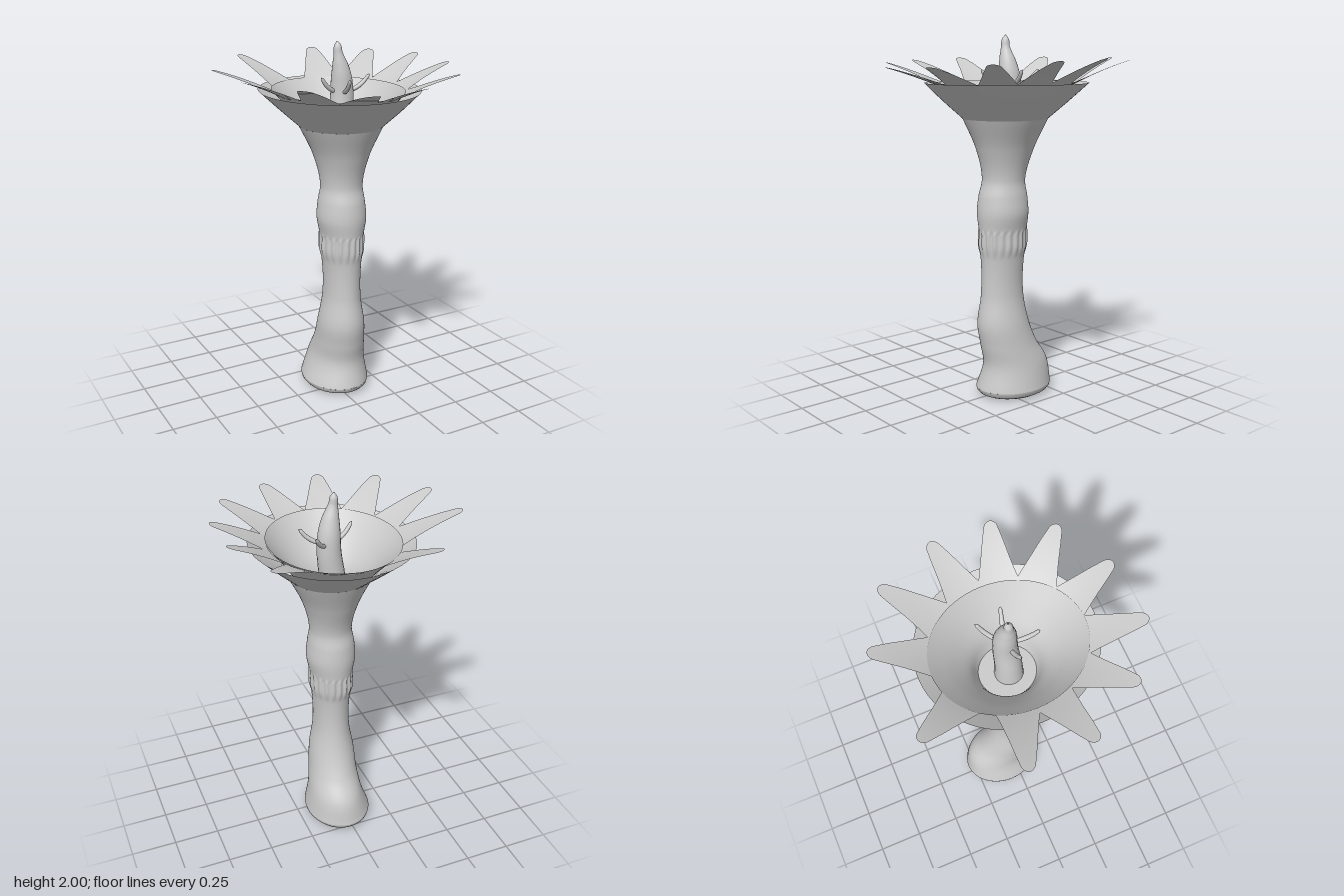
import * as THREE from 'three';

const material = new THREE.MeshStandardMaterial({ color: 0xcccccc });
const thin = new THREE.MeshStandardMaterial({ color: 0xcccccc, side: THREE.DoubleSide });

// Surface from a grid of points; "closed" joins the last column to the first
function grid(cols, rows, closed, point) {
  const pos = [], index = [], n = closed ? cols : cols + 1;
  for (let j = 0; j <= rows; j++)
    for (let i = 0; i < n; i++) pos.push(...point(i / cols, j / rows));
  for (let j = 0; j < rows; j++)
    for (let i = 0; i < cols; i++) {
      const a = j * n + i, b = j * n + (i + 1) % n;
      index.push(a, a + n, b, b, a + n, b + n);
    }
  const g = new THREE.BufferGeometry();
  g.setAttribute('position', new THREE.Float32BufferAttribute(pos, 3));
  g.setIndex(index);
  g.computeVertexNormals();
  return g;
}

// Smooth loft through upright sections [y, left, right, back, front]
function loft(sections, rows, cols = 64, ripple = () => 0) {
  const y0 = sections[0][0], y1 = sections[sections.length - 1][0];
  const curve = new THREE.CubicInterpolant(sections.map(s => s[0]), sections.flatMap(s => s.slice(1)), 4);
  return grid(cols, rows, true, (u, v) => {
    const y = y0 + (y1 - y0) * v, a = u * Math.PI * 2;
    const [l, r, b, f] = curve.evaluate(y), k = 1 + ripple(a, y);
    return [(l + r) / 2 + (r - l) / 2 * k * Math.cos(a), y, (b + f) / 2 + (f - b) / 2 * k * Math.sin(a)];
  });
}

// Round tapering strand along a curve
function strand(points, radius, rows, cols) {
  const c = new THREE.CatmullRomCurve3(points.map(p => new THREE.Vector3(...p)));
  const f = c.computeFrenetFrames(rows);
  return grid(cols, rows, true, (u, v) => {
    const k = Math.round(v * rows), a = -u * Math.PI * 2, r = radius(v);
    return c.getPoint(v).addScaledVector(f.normals[k], r * Math.cos(a))
      .addScaledVector(f.binormals[k], r * Math.sin(a)).toArray();
  });
}

export function createModel() {
  const group = new THREE.Group();
  const add = (name, geometry, mat = material, parent = group) => {
    const m = new THREE.Mesh(geometry, mat);
    m.name = name;
    parent.add(m);
  };

  // Trunk with a bulge, a grooved band and a foot leaning backwards
  const band = (a, y) => {
    if (y < 0.81 || y > 0.96) return 0;
    const fade = Math.min(1, (y - 0.81) / 0.06, (0.96 - y) / 0.015);
    return fade * (0.035 * Math.cos(a * 20) + 0.005);
  };
  add('trunk', loft([
    [0.05, -0.16, 0.21, -0.295, 0.16], [0.19, -0.112, 0.187, -0.265, 0.13],
    [0.3, -0.102, 0.168, -0.195, 0.148], [0.42, -0.1, 0.153, -0.145, 0.165],
    [0.59, -0.075, 0.127, -0.11, 0.145], [0.8, -0.079, 0.132, -0.113, 0.145],
    [0.86, -0.09, 0.142, -0.125, 0.153], [0.95, -0.09, 0.144, -0.127, 0.154],
    [1.05, -0.107, 0.16, -0.132, 0.16], [1.14, -0.1, 0.153, -0.125, 0.15],
    [1.23, -0.086, 0.143, -0.11, 0.13], [1.4, -0.12, 0.182, -0.16, 0.165],
    [1.56, -0.195, 0.258, -0.232, 0.232]], 160, 120, band));

  // Rounded sole
  add('sole', grid(64, 8, true, (u, v) => {
    const a = u * Math.PI * 2, r = Math.sin(v * Math.PI / 2);
    return [0.025 + 0.185 * r * Math.cos(a), 0.05 - 0.05 * Math.pow(1 - r ** 6, 0.5), -0.067 + 0.228 * r * Math.sin(a)];
  }));

  // Flared cup, with a lip turning back inside
  add('cup', loft([[1.56, -0.195, 0.258, -0.232, 0.232], [1.655, -0.298, 0.36, -0.352, 0.34],
    [1.75, -0.397, 0.455, -0.467, 0.438]], 8));
  add('cupLip', loft([[1.6, -0.22, 0.28, -0.26, 0.255], [1.68, -0.31, 0.37, -0.36, 0.345],
    [1.75, -0.397, 0.455, -0.467, 0.438]], 8), thin);

  // Inner bowl and its floor
  add('bowl', loft([[1.42, -0.115, 0.17, -0.165, 0.135], [1.53, -0.155, 0.21, -0.205, 0.18],
    [1.63, -0.225, 0.275, -0.285, 0.265], [1.75, -0.325, 0.36, -0.405, 0.385]], 20), thin);
  const floor = new THREE.CircleGeometry(1, 48);
  floor.rotateX(-Math.PI / 2).scale(0.143, 1, 0.151).translate(0.027, 1.42, -0.015);
  add('bowlFloor', floor, thin);

  // Ring of petals, each given by its tip
  const petals = new THREE.Group();
  petals.name = 'petals';
  group.add(petals);
  const cx = 0.02, cz = -0.01;
  const width = new THREE.CubicInterpolant([0, 0.12, 0.4, 0.7, 1], [0.108, 0.096, 0.072, 0.05, 0.026], 1);
  const tips = [[0.19, -0.645, 1.88], [0.49, -0.48, 1.87], [0.615, -0.17, 1.88], [0.615, 0.145, 1.87],
    [0.475, 0.445, 1.855], [0.19, 0.61, 1.84], [-0.145, 0.64, 1.835], [-0.43, 0.455, 1.855],
    [-0.61, 0.155, 1.865], [-0.62, -0.185, 1.875], [-0.3, -0.58, 1.88]];
  for (const [x, z, top] of tips) {
    const angle = Math.atan2(z - cz, x - cx), end = Math.hypot(x - cx, z - cz);
    add('petal', grid(10, 28, false, (u, v) => {
      const t = 1 - (1 - v) ** 1.6, s = u * 2 - 1;
      const round = Math.sqrt(Math.max(0, 1 - Math.max(0, (t - 0.91) / 0.09) ** 2));
      const w = width.evaluate(t)[0] * round * s;
      const start = 0.975 / Math.hypot(Math.cos(angle) / 0.345, Math.sin(angle) / 0.393);
      const r = start + (end - start) * t, a = angle + w / r;
      // The root follows the oval edge of the bowl
      const oval = 0.975 / Math.hypot(Math.cos(a) / 0.345, Math.sin(a) / 0.393);
      const q = r + (oval - start) * (1 - t);
      const y = 1.738 + (top - 1.738) * (1.25 * t - 0.25 * t * t);
      return [cx + q * Math.cos(a), y, cz + q * Math.sin(a)];
    }), thin, petals);
  }

  // Curved pistil
  const girth = new THREE.CubicInterpolant([0, 0.25, 0.55, 0.7, 0.85, 0.95, 1],
    [0.075, 0.066, 0.056, 0.042, 0.024, 0.018, 0.002], 1);
  add('pistil', strand([[0.02, 1.42, -0.01], [0.028, 1.55, -0.012], [0.045, 1.68, -0.018], [0.045, 1.78, -0.018],
    [0.035, 1.86, -0.012], [0.02, 1.93, -0.01], [0.016, 2, -0.014]], v => girth.evaluate(v)[0], 40, 20), thin);

  // Four stamens bending outward and up
  for (const [x, z] of [[0.155, -0.125], [0.192, 0.02], [0.005, 0.145], [-0.09, 0.007]]) {
    const at = (k, y) => [0.045 + (x - 0.045) * k, y, -0.018 + (z + 0.018) * k];
    add('stamen', strand([at(0.1, 1.73), at(0.45, 1.745), at(0.75, 1.775), at(1, 1.82)],
      v => v === 1 ? 0.001 : 0.008 + 0.004 * Math.sin(v * Math.PI), 16, 10), thin);
  }
  return group;
}
